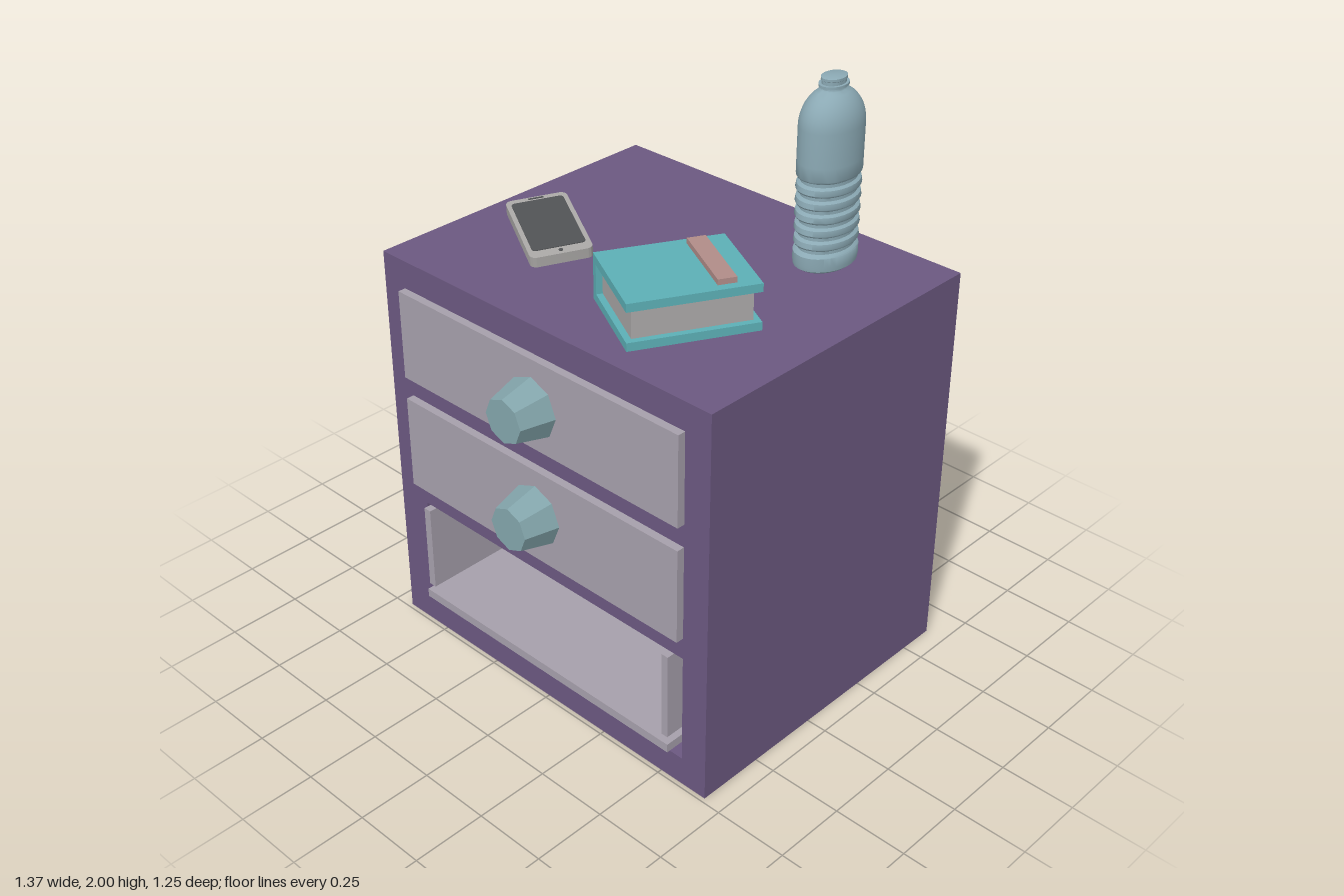
import * as THREE from 'three';
import { toCreasedNormals } from 'three/addons/utils/BufferGeometryUtils.js';

const mat = (color, flatShading = false) => new THREE.MeshStandardMaterial({ color, flatShading });
const PURPLE = mat(0x6b5880), PANEL = mat(0xa69fab), KNOB = mat(0x83a5ab, true);
const TEAL = mat(0x5cafb5), PAGES = mat(0xaaa8a8), PINK = mat(0xb08c88);
const GREY = mat(0xa9a7a5), DARK = mat(0x505254), WOOD = mat(0xb08a42, true);

function add(parent, name, geometry, material, x = 0, y = 0, z = 0) {
  const mesh = new THREE.Mesh(geometry, material);
  mesh.name = name;
  mesh.position.set(x, y, z);
  parent.add(mesh);
  return mesh;
}

// Box given by its minimum and maximum on each axis
function span(parent, name, material, x0, x1, y0, y1, z0, z1) {
  return add(parent, name, new THREE.BoxGeometry(x1 - x0, y1 - y0, z1 - z0), material,
    (x0 + x1) / 2, (y0 + y1) / 2, (z0 + z1) / 2);
}

function rectPath(path, x0, x1, y0, y1) {
  path.moveTo(x0, y0);
  path.lineTo(x1, y0);
  path.lineTo(x1, y1);
  path.lineTo(x0, y1);
  path.closePath();
  return path;
}

// Flat slab with rounded corners, lying in xz with its thickness along y
function roundedSlab(w, d, h, r) {
  const s = new THREE.Shape();
  const a = w / 2 - r, b = d / 2 - r;
  s.absarc(a, b, r, 0, Math.PI / 2);
  s.absarc(-a, b, r, Math.PI / 2, Math.PI);
  s.absarc(-a, -b, r, Math.PI, Math.PI * 1.5);
  s.absarc(a, -b, r, Math.PI * 1.5, Math.PI * 2);
  const g = new THREE.ExtrudeGeometry(s, { depth: h, bevelEnabled: false, curveSegments: 6 });
  return toCreasedNormals(g.translate(0, 0, -h / 2).rotateX(-Math.PI / 2), 0.6);
}

function makeCabinet() {
  const g = new THREE.Group();
  g.name = 'cabinet';
  // Carcass with an open bay at the bottom
  const shape = rectPath(new THREE.Shape(), -0.685, 0.68, 0, 1.365);
  shape.holes.push(rectPath(new THREE.Path(), -0.56, 0.585, 0.1, 0.485));
  const carcass = new THREE.ExtrudeGeometry(shape, { depth: 1.07, bevelEnabled: false });
  add(g, 'carcass', carcass, PURPLE, 0, 0, -0.585);
  span(g, 'backPanel', PURPLE, -0.685, 0.68, 0, 1.365, -0.625, -0.585);

  // Lining of the open bay
  span(g, 'bayFloor', PANEL, -0.555, 0.55, 0.12, 0.15, -0.56, 0.512);
  span(g, 'bayLeftWall', PANEL, 0.525, 0.55, 0.18, 0.485, -0.56, 0.512);
  span(g, 'bayRightWall', PANEL, -0.543, -0.515, 0.18, 0.485, -0.56, 0.512);

  // Two drawers with faceted knobs
  for (const [name, y0, y1, knobY] of [['upper', 0.963, 1.27, 1.108], ['lower', 0.56, 0.885, 0.727]]) {
    span(g, name + 'DrawerFront', PANEL, -0.59, 0.585, y0, y1, 0.47, 0.512);
    const knob = new THREE.CylinderGeometry(0.074, 0.103, 0.117, 8).rotateX(Math.PI / 2);
    add(g, name + 'Knob', knob, KNOB, 0, knobY, 0.5665);
  }
  return g;
}

function makeBottle() {
  const pts = [[0, 1.41], [0.1, 1.41], [0.112, 1.418], [0.114, 1.43], [0.114, 1.462]];
  // Ribbed waist
  for (let i = 0; i < 6; i++) {
    const y = 1.476 + i * 0.043;
    pts.push([0.111, y - 0.011], [0.099, y - 0.005], [0.099, y + 0.005], [0.111, y + 0.011], [0.114, y + 0.016]);
  }
  // Domed shoulder
  pts.push([0.114, 1.75]);
  for (let i = 0; i <= 8; i++) {
    const a = (i / 8) * 1.17;
    pts.push([0.114 * Math.cos(a), 1.855 + 0.114 * Math.sin(a)]);
  }
  // Neck, collar and mouth
  pts.push([0.042, 1.963], [0.042, 1.97], [0.052, 1.97], [0.052, 1.978], [0.042, 1.978],
    [0.042, 1.988], [0.045, 1.99], [0.045, 1.998], [0.04, 2], [0, 2]);
  const geo = new THREE.LatheGeometry(pts.map(([r, y]) => new THREE.Vector2(r, y)), 32);
  geo.scale(0.75, 1, 1);
  const bottle = new THREE.Mesh(toCreasedNormals(geo, 0.7), mat(0x8ba9b4));
  bottle.name = 'bottle';
  bottle.position.set(0.384, 0, -0.34);
  return bottle;
}

function makeBook() {
  const g = new THREE.Group();
  g.name = 'book';
  const w = 0.325, d = 0.4;
  span(g, 'bottomCover', TEAL, -w / 2, w / 2, 0, 0.027, -d / 2, d / 2);
  span(g, 'topCover', TEAL, -w / 2, w / 2, 0.123, 0.15, -d / 2, d / 2);
  span(g, 'spine', TEAL, -w / 2, -w / 2 + 0.027, 0.027, 0.123, -d / 2, d / 2);
  span(g, 'pages', PAGES, -w / 2 + 0.027, w / 2 - 0.02, 0.027, 0.123, -d / 2 + 0.02, d / 2 - 0.02);
  span(g, 'coverStrip', PINK, -0.135, 0.135, 0.15, 0.168, -0.132, -0.074);
  g.position.set(0.27, 1.39, 0.185);
  g.rotation.y = -0.497;
  return g;
}

function makePhone() {
  const g = new THREE.Group();
  g.name = 'phone';
  add(g, 'phoneBody', roundedSlab(0.352, 0.198, 0.034, 0.022), GREY);
  add(g, 'phoneScreen', roundedSlab(0.29, 0.168, 0.006, 0.012), DARK, -0.007, 0.0165, 0);
  add(g, 'phoneButton', new THREE.CylinderGeometry(0.007, 0.007, 0.004, 12), DARK, 0.156, 0.017, 0);
  add(g, 'phoneSpeaker', roundedSlab(0.006, 0.05, 0.004, 0.0025), DARK, -0.165, 0.017, 0);
  g.position.set(-0.372, 1.403, 0.08);
  g.rotation.set(0.06, -0.52, -0.08, 'YXZ');
  return g;
}

function makePencil() {
  const g = new THREE.Group();
  g.name = 'pencil';
  const start = new THREE.Vector3(-0.005, 1.396, 0.14), tip = new THREE.Vector3(0.073, 1.44, -0.105);
  const len = start.distanceTo(tip);
  const rod = (name, r0, r1, y0, y1, sides, material) =>
    add(g, name, new THREE.CylinderGeometry(r1, r0, y1 - y0, sides), material, 0, (y0 + y1) / 2, 0);
  rod('eraser', 0.023, 0.026, 0, 0.025, 16, PINK);
  rod('ferrule', 0.027, 0.027, 0.022, 0.052, 16, GREY);
  for (const y of [0.03, 0.044]) rod('ferruleRing', 0.029, 0.029, y - 0.002, y + 0.002, 16, GREY);
  rod('pencilBody', 0.028, 0.028, 0.05, len - 0.042, 6, WOOD);
  rod('sharpenedWood', 0.028, 0.008, len - 0.042, len - 0.011, 6, mat(0xc0ae8c, true));
  rod('lead', 0.008, 0.001, len - 0.011, len, 6, DARK);
  g.position.copy(start);
  g.quaternion.setFromUnitVectors(new THREE.Vector3(0, 1, 0), tip.clone().sub(start).normalize());
  return g;
}

export function createModel() {
  const model = new THREE.Group();
  model.name = 'nightstand';
  model.add(makeCabinet(), makeBottle(), makeBook(), makePhone(), makePencil());
  return model;
}
